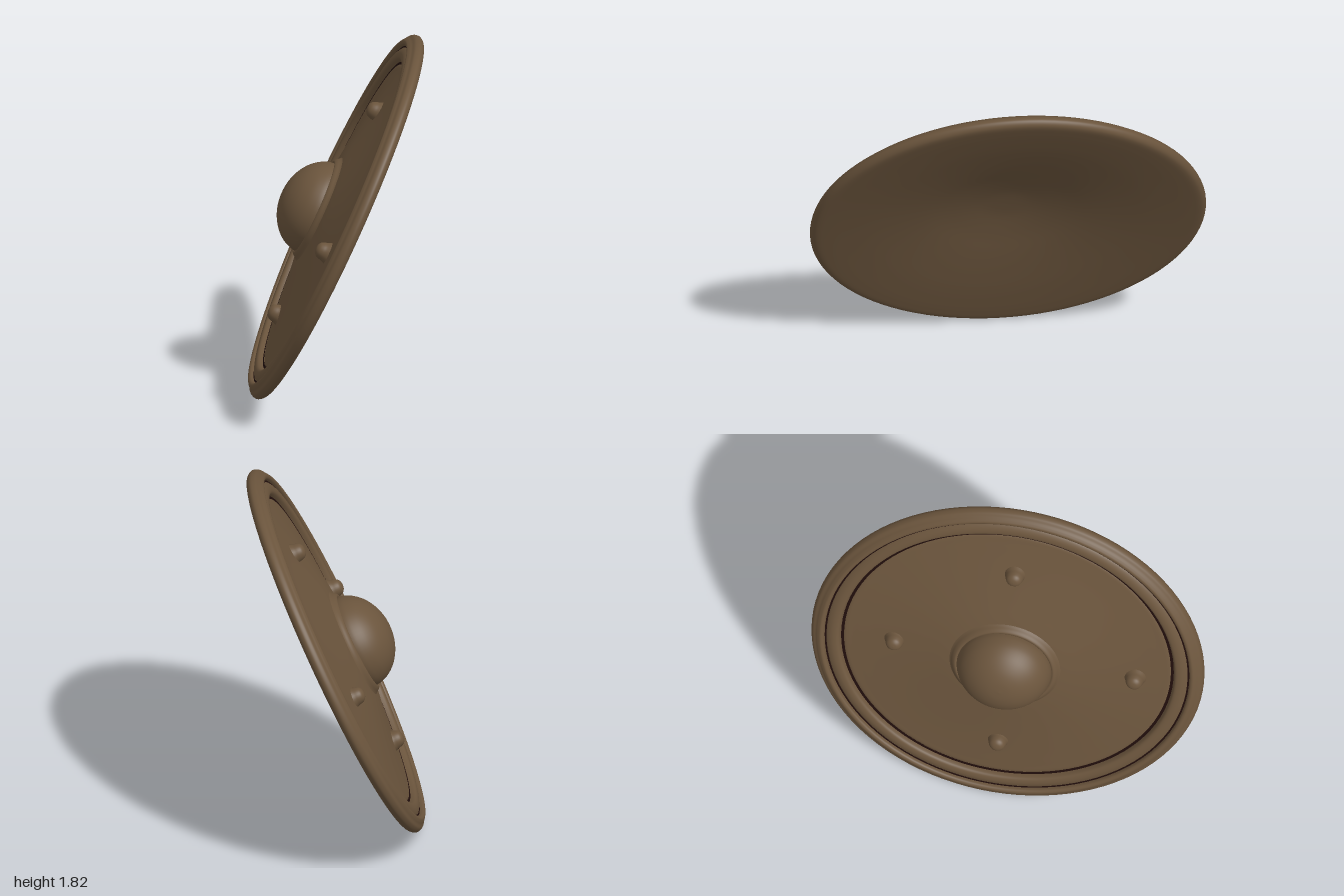
import * as THREE from 'three';

const bronze = new THREE.MeshStandardMaterial({ color: 0x6a543c });
bronze.name = 'darkBronze';
const shadowBrown = new THREE.MeshStandardMaterial({ color: 0x1f0d0b });
shadowBrown.name = 'blackenedBrown';

// Smooth curve through [radius, height] points, spun around the shield's axis
function turned(name, points, steps, segments) {
  const curve = new THREE.SplineCurve(points.map(([r, h]) => new THREE.Vector2(r, h)));
  const profile = curve.getPoints(steps).map((p) => new THREE.Vector2(Math.max(p.x, 0), p.y));
  const mesh = new THREE.Mesh(new THREE.LatheGeometry(profile, segments), bronze);
  mesh.name = name;
  return mesh;
}

export function createModel() {
  const model = new THREE.Group();
  model.name = 'roundShield';
  const shield = new THREE.Group();
  shield.name = 'tiltedShield';
  model.add(shield);

  // Hollow back rolling smoothly over into the rim and its raised lip
  shield.add(turned('backAndRim', [
    [0, 0.08], [0.12, 0.076], [0.27, 0.055], [0.42, 0.027], [0.55, 0.006],
    [0.7, -0.014], [0.84, -0.027], [0.92, -0.032], [0.965, -0.032],
    [0.988, -0.023], [1, -0.002], [0.992, 0.022], [0.974, 0.035],
    [0.962, 0.045], [0.947, 0.052], [0.932, 0.044], [0.926, 0.018],
  ], 96, 96));

  // Raised band inside the rim
  shield.add(turned('innerBand', [
    [0.928, 0.016], [0.915, 0.034], [0.885, 0.045], [0.856, 0.038], [0.842, 0.0],
  ], 24, 96));

  // Bell-shaped face
  shield.add(turned('face', [
    [0.845, 0.0], [0.828, 0.017], [0.78, 0.024], [0.68, 0.037], [0.55, 0.056],
    [0.42, 0.077], [0.3, 0.097], [0.2, 0.11],
  ], 36, 96));

  // Blackened seams on either side of the band
  for (const [inner, outer, height] of [[0.832, 0.85, 0.017], [0.919, 0.932, 0.031]]) {
    const seam = new THREE.Mesh(new THREE.RingGeometry(inner, outer, 96), shadowBrown);
    seam.name = 'darkSeam';
    seam.rotation.x = -Math.PI / 2;
    seam.position.y = height;
    shield.add(seam);
  }

  // Soft collar and domed boss
  shield.add(turned('bossCollar', [
    [0.295, 0.09], [0.277, 0.104], [0.264, 0.12], [0.25, 0.129], [0.236, 0.122],
  ], 16, 64));
  shield.add(turned('boss', [
    [0.242, 0.115], [0.237, 0.15], [0.215, 0.198], [0.175, 0.243],
    [0.12, 0.278], [0.06, 0.298], [0, 0.304],
  ], 32, 64));

  // Four rivets around the boss
  for (const [x, z] of [[0.59, 0], [-0.59, 0], [0, -0.57], [0, 0.655]]) {
    const rivet = turned('rivet', [
      [0.056, 0], [0.048, 0.018], [0.043, 0.036], [0.035, 0.052], [0.019, 0.063], [0, 0.066],
    ], 20, 32);
    rivet.position.set(x, 0.04, z);
    shield.add(rivet);
  }

  // Lean the shield, face towards -x and upward
  shield.rotation.z = THREE.MathUtils.degToRad(65.1);
  shield.position.set(0.007, 0.912, 0);
  return model;
}
